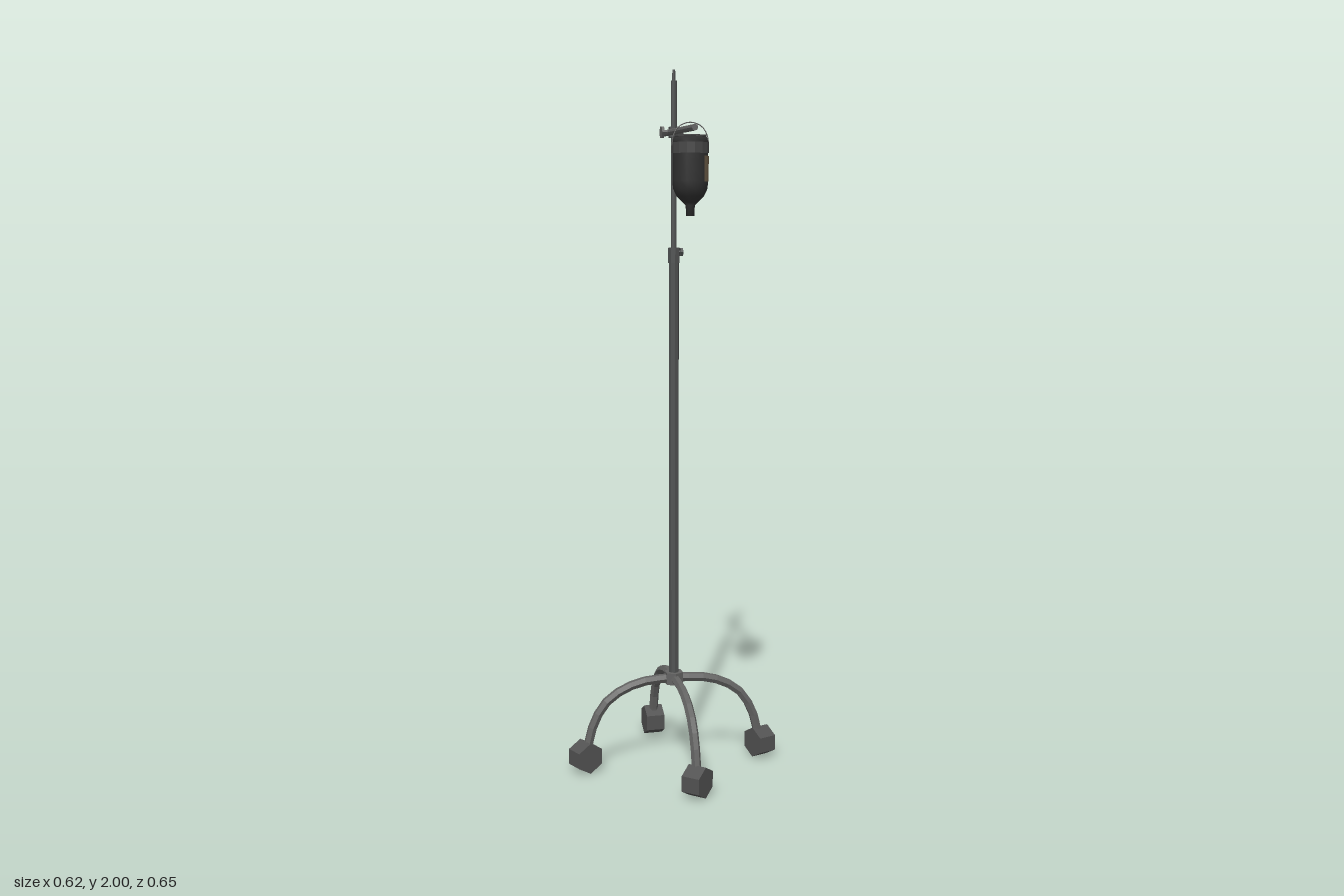
import * as THREE from 'three';

const V = (x, y, z) => new THREE.Vector3(x, y, z);
const paint = (name, color) => {
  const m = new THREE.MeshStandardMaterial({ color });
  m.name = name;
  return m;
};

export function createModel() {
  const group = new THREE.Group();
  const steel = paint('steel', 0x636362);
  const darkSteel = paint('dark steel', 0x505252);
  const rubber = paint('caster grey', 0x525252);
  const glass = paint('dark bottle', 0x303030);
  const band = paint('bottle band', 0x474747);
  const paper = paint('brown label', 0x6b5b46);
  const poleZ = -0.022;

  const add = (name, geometry, material, x = 0, y = 0, z = 0, parent = group) => {
    // facets stay crisp on the low-poly metal
    const flat = geometry.index ? geometry.toNonIndexed() : geometry;
    flat.computeVertexNormals();
    const mesh = new THREE.Mesh(flat, material);
    mesh.name = name;
    mesh.position.set(x, y, z);
    parent.add(mesh);
    return mesh;
  };
  const rod = (name, a, b, r, material, sides = 8, r2 = r) => {
    const d = b.clone().sub(a);
    const mid = a.clone().add(b).multiplyScalar(0.5);
    const mesh = add(name, new THREE.CylinderGeometry(r2, r, d.length(), sides), material, mid.x, mid.y, mid.z);
    mesh.quaternion.setFromUnitVectors(V(0, 1, 0), d.normalize());
    return mesh;
  };

  // Telescoping pole
  rod('lowerPole', V(0, 0.25, poleZ), V(0, 1.5, poleZ), 0.0145, darkSteel);
  rod('poleCollar', V(0, 1.47, poleZ), V(0, 1.512, poleZ), 0.0165, darkSteel);
  rod('upperPole', V(0, 1.5, poleZ), V(0, 1.97, poleZ), 0.0085, darkSteel);
  rod('poleTip', V(0, 1.965, poleZ), V(0, 2, poleZ), 0.0055, darkSteel, 6, 0.004);
  rod('collarScrew', V(0.01, 1.5, poleZ), V(0.02, 1.5, poleZ), 0.006, darkSteel, 6);
  rod('collarKnob', V(0.018, 1.5, poleZ), V(0.025, 1.5, poleZ), 0.013, darkSteel, 6);

  // Hub where the legs meet
  rod('hub', V(0, 0.245, poleZ), V(0, 0.28, poleZ), 0.028, steel, 6);

  // Four arched legs, each ending in a six-sided caster swivelled its own way
  const legs = [
    { name: 'left', turn: 0, swivel: 20 },
    { name: 'back', turn: 90, swivel: 0 },
    { name: 'right', turn: 180, swivel: -68 },
    { name: 'front', turn: 270, swivel: -45 },
  ];
  const arch = new THREE.CatmullRomCurve3(
    [[0, 0.262], [0.09, 0.257], [0.155, 0.236], [0.205, 0.2], [0.24, 0.14], [0.258, 0.07], [0.262, 0.045]]
      .map(([x, y]) => V(x, y, 0)));
  for (const { name, turn, swivel } of legs) {
    const a = THREE.MathUtils.degToRad(turn);
    const leg = add(name + 'Leg', new THREE.TubeGeometry(arch, 9, 0.0135, 6), steel, 0, 0, poleZ);
    leg.rotation.y = a;
    const caster = new THREE.CylinderGeometry(0.045, 0.045, 0.055, 6).rotateZ(Math.PI / 2).rotateX(Math.PI / 2);
    // turn the wheel so a corner points down
    caster.computeBoundingBox();
    if (caster.boundingBox.max.y < 0.044) caster.rotateX(Math.PI / 6);
    const wheel = add(name + 'Caster', caster, rubber, 0.265 * Math.cos(a), 0.045, poleZ - 0.265 * Math.sin(a));
    wheel.rotation.y = THREE.MathUtils.degToRad(swivel);
  }

  // Cross arm clamped to the side of the upper pole
  rod('crossArm', V(-0.007, 1.83, -0.1), V(-0.031, 1.83, 0.32), 0.0085, steel);
  rod('armClamp', V(0, 1.815, poleZ), V(0, 1.845, poleZ), 0.015, darkSteel, 6);
  rod('clampScrew', V(-0.034, 1.83, poleZ), V(0.026, 1.83, poleZ), 0.007, steel, 6);
  rod('clampKnob', V(-0.037, 1.83, poleZ), V(-0.03, 1.83, poleZ), 0.018, steel, 6);

  // Hanging bottle
  const bottle = new THREE.Group();
  bottle.name = 'bottle';
  bottle.position.set(-0.028, 0, 0.262);
  group.add(bottle);
  const profile = [[0, 1.605], [0.011, 1.605], [0.012, 1.632], [0.02, 1.64], [0.036, 1.656], [0.045, 1.675],
    [0.0465, 1.695], [0.0465, 1.795], [0.043, 1.808], [0, 1.811]].map(([x, y]) => new THREE.Vector2(x, y));
  const body = new THREE.Mesh(new THREE.LatheGeometry(profile, 14), glass);
  body.name = 'bottleBody';
  bottle.add(body);
  const lid = add('bottleBase', new THREE.CylinderGeometry(0.042, 0.042, 0.004, 14), band, 0, 1.811, 0, bottle);
  lid.rotation.y = Math.PI / 14;
  add('hangerBand', new THREE.CylinderGeometry(0.0485, 0.0485, 0.028, 14, 1, true), band, 0, 1.78, 0, bottle)
    .material.side = THREE.DoubleSide;

  // Paper label wrapped around the left side
  paper.side = THREE.DoubleSide;
  const wrap = THREE.MathUtils.degToRad(112);
  add('bottleLabel', new THREE.CylinderGeometry(0.048, 0.048, 0.066, 6, 1, true, Math.PI / 2 - wrap / 2, wrap),
    paper, 0, 1.726, 0, bottle);

  // Wire bail looping over the arm
  const bail = new THREE.CatmullRomCurve3(
    [[-0.049, 1.785], [-0.046, 1.81], [-0.03, 1.835], [0, 1.845], [0.03, 1.835], [0.046, 1.81], [0.049, 1.785]]
      .map(([x, y]) => V(x, y, 0)));
  add('wireBail', new THREE.TubeGeometry(bail, 14, 0.0015, 5), steel, 0, 0, 0, bottle);

  return group;
}
